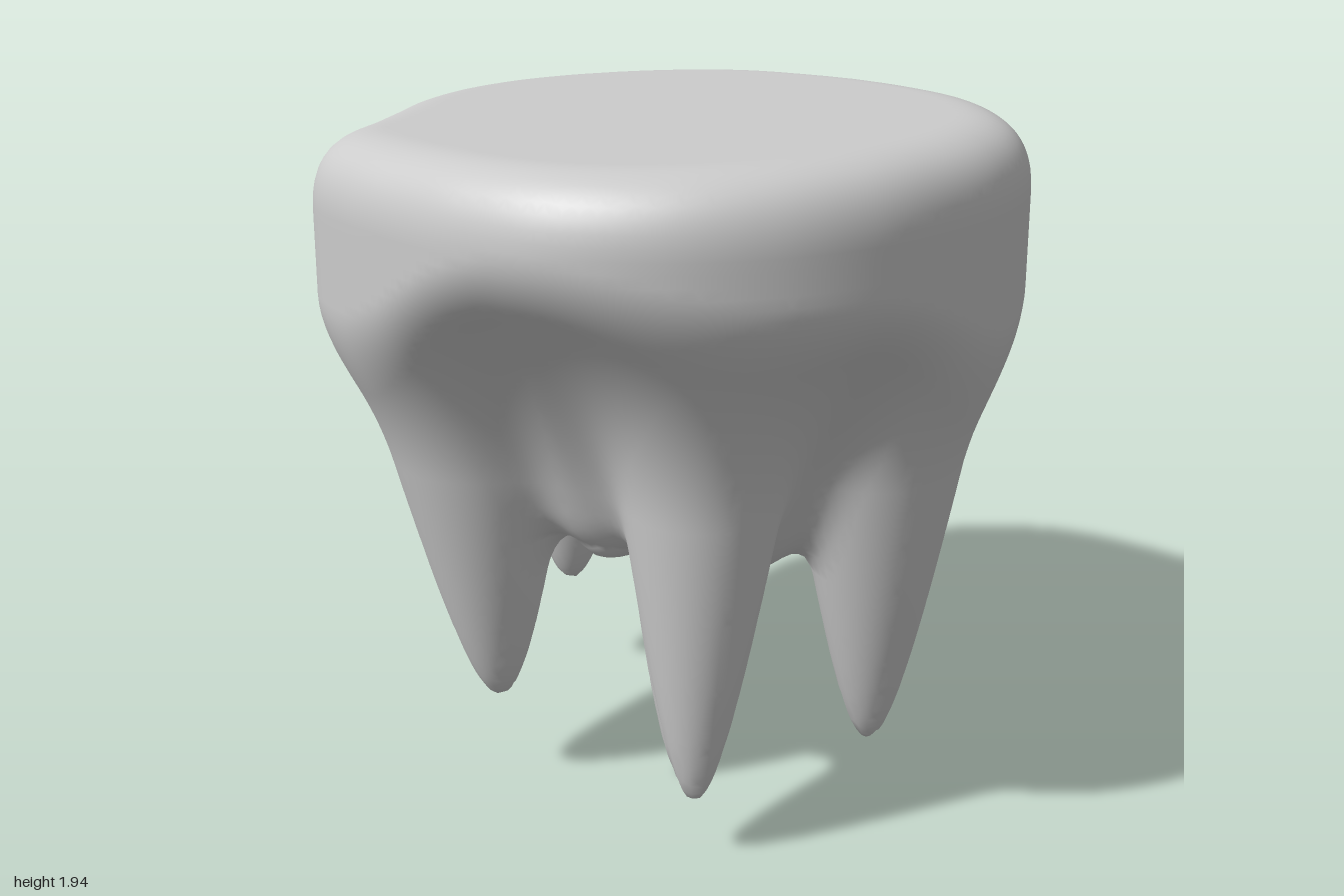
import * as THREE from 'three';

// Rim radius every 15 degrees, starting at +x and turning toward +z
const RIM = [.94, .955, .97, .99, .99, .99, 1.01, 1.03, 1.04, 1.025, .98, .94,
  .94, .955, .885, .87, .91, .96, 1, 1.02, 1.03, 1.02, .975, .95];

// Hanging spikes: tip position, axis position at y = 1.6, thickness
const SPIKES = [
  { tip: [-.5, .27, -.08], top: [-.56, -.1], w: 1 },
  { tip: [-.25, .18, .6], top: [-.17, .52], w: .8 },
  { tip: [-.03, -.01, .16], top: [.07, .1], w: .76 },
  { tip: [.39, .16, .49], top: [.36, .53], w: .87 },
  { tip: [.71, .38, -.23], top: [.56, -.15], w: 1 },
  { tip: [.02, .32, -.65], top: [.06, -.6], w: 1 },
];

// Blunt webs that fill the hollows between neighbouring spikes, same layout
const WEBS = [
  { tip: [.06, .71, .36], top: [.08, .45], w: 1.4 },
  { tip: [.4, .79, .13], top: [.46, .17], w: 1.2 },
  { tip: [.31, .84, -.35], top: [.42, -.42], w: 1.4 },
  { tip: [-.24, .82, -.32], top: [-.34, -.36], w: 1.3 },
  { tip: [-.3, .81, .2], top: [-.36, .22], w: 1.1 },
];

// Smooth union and smooth intersection
const smin = (a, b, k) => {
  const h = Math.max(k - Math.abs(a - b), 0) / k;
  return Math.min(a, b) - h * h * k / 4;
};
const smax = (a, b, k) => -smin(-a, -b, k);

function rimRadius(x, z) {
  const u = (Math.atan2(z, x) / (2 * Math.PI) + 1) * 24;
  const i = Math.floor(u), t = u - i;
  const [a, b, c, d] = [-1, 0, 1, 2].map((k) => RIM[(i + k + 24) % 24]);
  return b + .5 * t * (c - a + t * (2 * a - 5 * b + 4 * c - d + t * (3 * (b - c) + d - a)));
}

// Core width as a fraction of the rim, flaring toward the top
function coreWidth(y) {
  const s = THREE.MathUtils.clamp((1.8 - y) / 1.1, 0, 1);
  return 1 - .58 * Math.sin(s * Math.PI / 2) ** 1.2;
}

// Round-tipped spike on a slightly leaning axis, flaring where it meets the rim
function spike({ tip, top, w }, x, y, z) {
  const t = y - tip[1], up = Math.max(t, 0);
  const s = Math.min(up / (1.6 - tip[1]), 1.1);
  const dx = x - tip[0] - (top[0] - tip[0]) * s;
  const dz = z - tip[2] - (top[1] - tip[2]) * s;
  const flare = .6 * Math.max(y - 1, 0) ** 2;
  return Math.hypot(dx, dz, Math.min(t, 0)) - w * Math.sqrt(.035 * up * up + .054 * up) - flare;
}

// Signed field of the whole body, negative inside
function field(x, y, z) {
  const rim = Math.hypot(x, z) - rimRadius(x, z);
  const side = (rim + rimRadius(x, z) * (1 - coreWidth(y))) * .85;
  let d = smax(side, .77 - y, .2);
  for (const s of WEBS) d = smin(d, spike(s, x, y, z), .2);
  for (const s of SPIKES) d = smin(d, spike(s, x, y, z), .12);
  d = smax(d, rim, .08);
  return smax(d, y - (1.92 + .025 * z + .012 * x), .2);
}

function gradient(x, y, z) {
  const e = .008;
  return new THREE.Vector3(
    field(x + e, y, z) - field(x - e, y, z),
    field(x, y + e, z) - field(x, y - e, z),
    field(x, y, z + e) - field(x, y, z - e)).divideScalar(2 * e);
}

// Skin the zero level of the field with a quad net
function skin() {
  const h = .03, n = 74, lo = [-1.1, -.1, -1.1];
  const at = (i, j, k) => (i * n + j) * n + k;
  const step = [n * n, n, 1];
  const val = new Float32Array(n ** 3), cell = new Int32Array(n ** 3).fill(-1);
  for (let i = 0; i < n; i++) for (let j = 0; j < n; j++) for (let k = 0; k < n; k++)
    val[at(i, j, k)] = field(lo[0] + i * h, lo[1] + j * h, lo[2] + k * h);

  const pos = [], nor = [], index = [];
  // One vertex in each crossed cell, pulled onto the surface
  for (let i = 0; i < n - 1; i++) for (let j = 0; j < n - 1; j++) for (let k = 0; k < n - 1; k++) {
    const c = at(i, j, k), sum = new THREE.Vector3();
    let hits = 0;
    for (let a = 0; a < 3; a++) for (let m = 0; m < 4; m++) {
      const o = [0, 0, 0];
      o[(a + 1) % 3] = m & 1;
      o[(a + 2) % 3] = m >> 1;
      const p = c + o[0] * step[0] + o[1] * step[1] + o[2] * step[2];
      const v0 = val[p], v1 = val[p + step[a]];
      if ((v0 < 0) === (v1 < 0)) continue;
      o[a] = v0 / (v0 - v1);
      sum.add(new THREE.Vector3(...o));
      hits++;
    }
    if (!hits) continue;
    const p = sum.divideScalar(hits).add(new THREE.Vector3(i, j, k)).multiplyScalar(h).add(new THREE.Vector3(...lo));
    for (let r = 0; r < 2; r++) {
      const g = gradient(p.x, p.y, p.z);
      const move = -field(p.x, p.y, p.z) / Math.max(g.lengthSq(), .1);
      p.add(g.multiplyScalar(move).clampLength(0, h * .4));
    }
    cell[c] = pos.length / 3;
    pos.push(p.x, p.y, p.z);
    nor.push(...gradient(p.x, p.y, p.z).normalize().toArray());
  }
  // One quad around each crossed grid edge
  for (let i = 1; i < n - 1; i++) for (let j = 1; j < n - 1; j++) for (let k = 1; k < n - 1; k++) {
    const c = at(i, j, k);
    for (let a = 0; a < 3; a++) {
      const inside = val[c] < 0;
      if (inside === (val[c + step[a]] < 0)) continue;
      const u = step[(a + 1) % 3], v = step[(a + 2) % 3];
      const q = [cell[c - u - v], cell[c - v], cell[c], cell[c - u]];
      if (!inside) q.reverse();
      index.push(q[0], q[1], q[2], q[0], q[2], q[3]);
    }
  }
  const geo = new THREE.BufferGeometry();
  geo.setAttribute('position', new THREE.Float32BufferAttribute(pos, 3));
  geo.setAttribute('normal', new THREE.Float32BufferAttribute(nor, 3));
  geo.setIndex(index);
  return geo;
}

export function createModel() {
  const group = new THREE.Group();
  group.name = 'floatingRock';
  const rock = new THREE.Mesh(skin(), new THREE.MeshStandardMaterial({ color: 0xcccccc }));
  rock.name = 'rockWithHangingSpikes';
  group.add(rock);
  return group;
}
